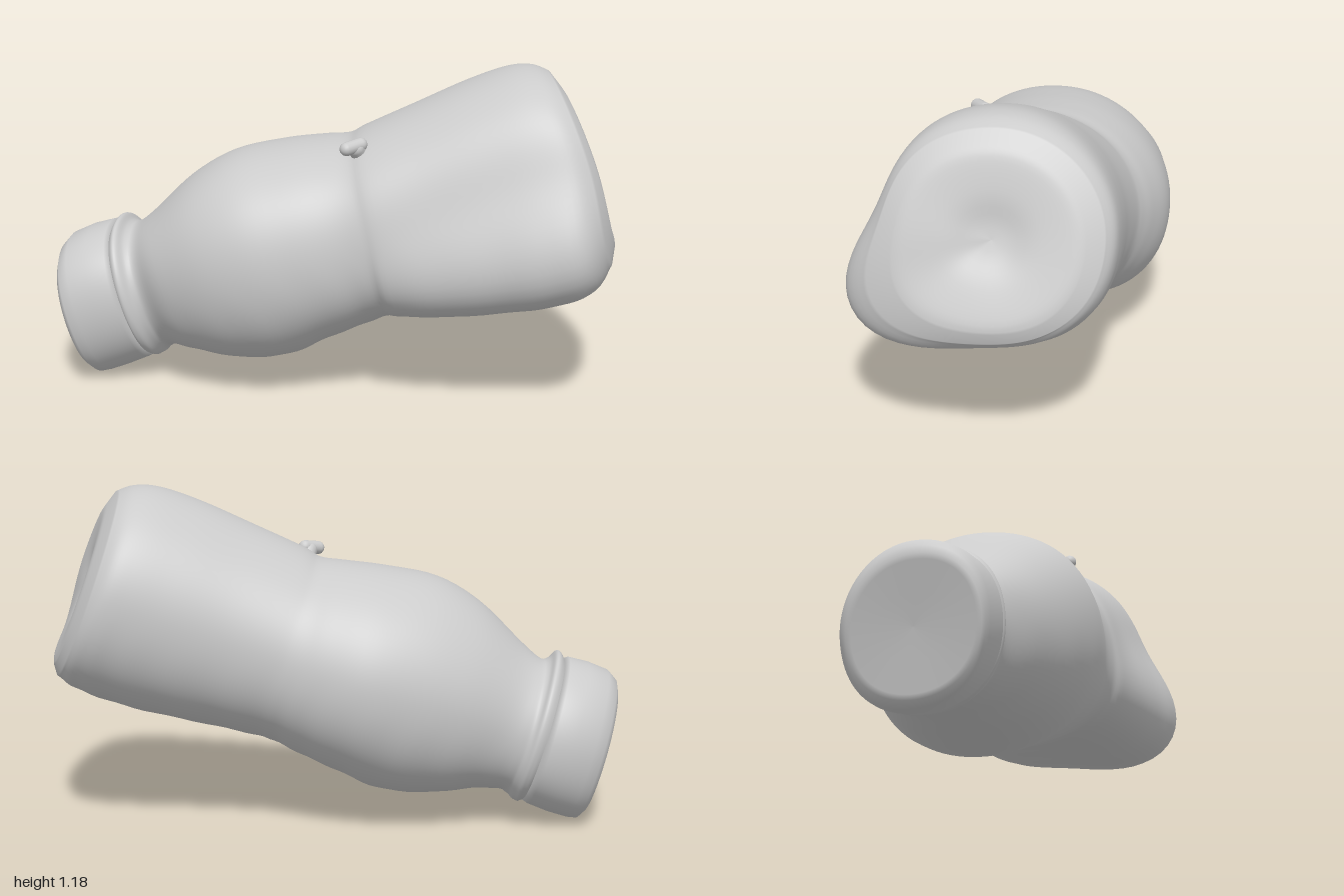
import * as THREE from 'three';

const SIDES = 96;
const grey = new THREE.MeshStandardMaterial({ color: 0xcccccc });

// A section is [topX, topY, bottomX, bottomY, backZ, frontZ, spur, skew]:
// spur pulls out a corner at the lower front, skew slants the section in z.

// Shrinks a section about its centre and slides it along x.
function inset([xt, yt, xb, yb, z0, z1, k, skew], s, dx = 0) {
  const x = (xt + xb) / 2, y = (yt + yb) / 2, z = (z0 + z1) / 2;
  return [x + (xt - x) * s + dx, y + (yt - y) * s + dx * 0.35, x + (xb - x) * s + dx,
    y + (yb - y) * s + dx * 0.35, z + (z0 - z) * s, z + (z1 - z) * s, k * s, skew];
}

// Adds smooth in-between sections.
function refine(list, steps) {
  const out = [];
  const at = i => list[Math.min(Math.max(i, 0), list.length - 1)];
  for (let i = 0; i < list.length - 1; i++) {
    for (let s = 0; s < steps; s++) {
      const t = s / steps;
      out.push(list[i].map((b, n) => {
        const a = at(i - 1)[n], c = at(i + 1)[n], d = at(i + 2)[n];
        return b + 0.5 * t * (c - a + t * (2 * a - 5 * b + 4 * c - d + t * (3 * (b - c) + d - a)));
      }));
    }
  }
  out.push(list[list.length - 1]);
  return out;
}

// Skins a row of slanted, nearly round sections running towards +x.
function loft(name, sections, ripple = 0) {
  const pos = [], index = [];
  sections.forEach(([xt, yt, xb, yb, z0, z1, k, skew], i) => {
    for (let j = 0; j < SIDES; j++) {
      const a = (j / SIDES) * Math.PI * 2 - Math.PI;
      const c = Math.cos(a), s = Math.sin(a);
      const spur = k * Math.exp(-(((a + 0.63) / 0.51) ** 2));
      let r = 1 + spur;
      if (c > 0 || s < 0) r += 0.03 * Math.sin(2 * a) ** 2;
      if (s < 0) r += ripple * s * Math.sin(i * 1.3 + 2 * Math.sin(a * 3));
      const dz = (z1 - z0) / 2 * c * r;
      pos.push((xt + xb) / 2 + (xt - xb) / 2 * s * r - skew * dz - 0.14 * spur,
        (yt + yb) / 2 + (yt - yb) / 2 * s * r, (z0 + z1) / 2 + dz);
      if (i < sections.length - 1) {
        const p = i * SIDES + j, q = i * SIDES + (j + 1) % SIDES;
        index.push(p, p + SIDES, q, q, p + SIDES, q + SIDES);
      }
    }
  });
  const geo = new THREE.BufferGeometry();
  geo.setAttribute('position', new THREE.Float32BufferAttribute(pos, 3));
  geo.setIndex(index);
  geo.computeVertexNormals();
  const mesh = new THREE.Mesh(geo, grey);
  mesh.name = name;
  return mesh;
}

// Rounded peg between two points.
function peg(name, from, to, radius) {
  const a = new THREE.Vector3(...from), b = new THREE.Vector3(...to);
  const mesh = new THREE.Mesh(new THREE.CapsuleGeometry(radius, a.distanceTo(b), 6, 14), grey);
  mesh.position.copy(a).add(b).multiplyScalar(0.5);
  mesh.quaternion.setFromUnitVectors(new THREE.Vector3(0, 1, 0), b.sub(a).normalize());
  mesh.name = name;
  return mesh;
}

export function createModel() {
  const model = new THREE.Group();
  model.name = 'bottle';

  // Body: ridge under the cap, neck, shoulder, waist groove, barrel with a pulled-out corner
  const body = refine([
    [-0.80, 0.54, -0.66, 0.09, -0.46, 0.00, 0, 0.22],
    [-0.783, 0.583, -0.637, 0.07, -0.472, 0.03, 0, 0.22],
    [-0.765, 0.59, -0.615, 0.072, -0.472, 0.032, 0, 0.22],
    [-0.74, 0.566, -0.59, 0.095, -0.455, 0.018, 0, 0.2],
    [-0.71, 0.565, -0.56, 0.112, -0.45, 0.03, 0, 0.17],
    [-0.65, 0.62, -0.47, 0.11, -0.455, 0.12, 0, 0.14],
    [-0.51, 0.76, -0.31, 0.095, -0.495, 0.225, 0, 0.14],
    [-0.36, 0.85, -0.14, 0.115, -0.515, 0.28, 0.01, 0.14],
    [-0.18, 0.89, 0.00, 0.18, -0.51, 0.29, 0.03, 0.14],
    [-0.03, 0.91, 0.13, 0.24, -0.465, 0.285, 0.06, 0.14],
    [0.05, 0.92, 0.22, 0.285, -0.43, 0.295, 0.10, 0.14],
    [0.11, 0.955, 0.29, 0.305, -0.41, 0.31, 0.19, 0.14],
    [0.28, 1.035, 0.46, 0.345, -0.39, 0.325, 0.34, 0.14],
    [0.46, 1.118, 0.67, 0.395, -0.385, 0.35, 0.44, 0.12],
    [0.60, 1.168, 0.83, 0.445, -0.38, 0.37, 0.51, 0.08],
    [0.69, 1.175, 0.93, 0.49, -0.368, 0.375, 0.49, 0.03],
    [0.75, 1.155, 0.975, 0.525, -0.335, 0.355, 0.30, 0.0],
  ], 5);
  // Base: rounded rim and shallow dished middle
  const rim = [0.785, 1.11, 0.985, 0.56, -0.28, 0.315, 0.14, 0];
  const base = refine([rim, inset(rim, 0.9, 0.006), inset(rim, 0.7, 0.004), inset(rim, 0.45, -0.004),
    inset(rim, 0.2, -0.022), inset(rim, 0, -0.027)], 3);
  model.add(loft('body', [...body, ...base], 0.004));

  // Cap: flat end, rounded edge, skirt closing on the ridge
  const end = [-0.985, 0.455, -0.86, 0.02, -0.45, -0.01, 0, 0.2];
  const cap = [
    inset(end, 0, 0.01), inset(end, 0.5, 0.006), inset(end, 0.92), end,
    [-0.98, 0.485, -0.835, 0.0, -0.465, 0.00, 0, 0.2],
    [-0.95, 0.52, -0.80, 0.006, -0.48, 0.01, 0, 0.2],
    [-0.88, 0.55, -0.73, 0.03, -0.49, 0.02, 0, 0.2],
    [-0.81, 0.568, -0.66, 0.06, -0.485, 0.03, 0, 0.2],
    [-0.788, 0.56, -0.642, 0.073, -0.47, 0.025, 0, 0.2],
    [-0.775, 0.50, -0.635, 0.13, -0.41, -0.04, 0, 0.2],
  ];
  model.add(loft('cap', cap));

  // Small T-shaped nub on the upper front
  const nub = new THREE.Group();
  nub.name = 'nub';
  nub.add(peg('nubStem', [0.095, 0.86, 0.09], [0.065, 0.92, 0.135], 0.03));
  nub.add(peg('nubHead', [0.08, 0.933, 0.13], [0.03, 0.925, 0.16], 0.024));
  model.add(nub);
  return model;
}
